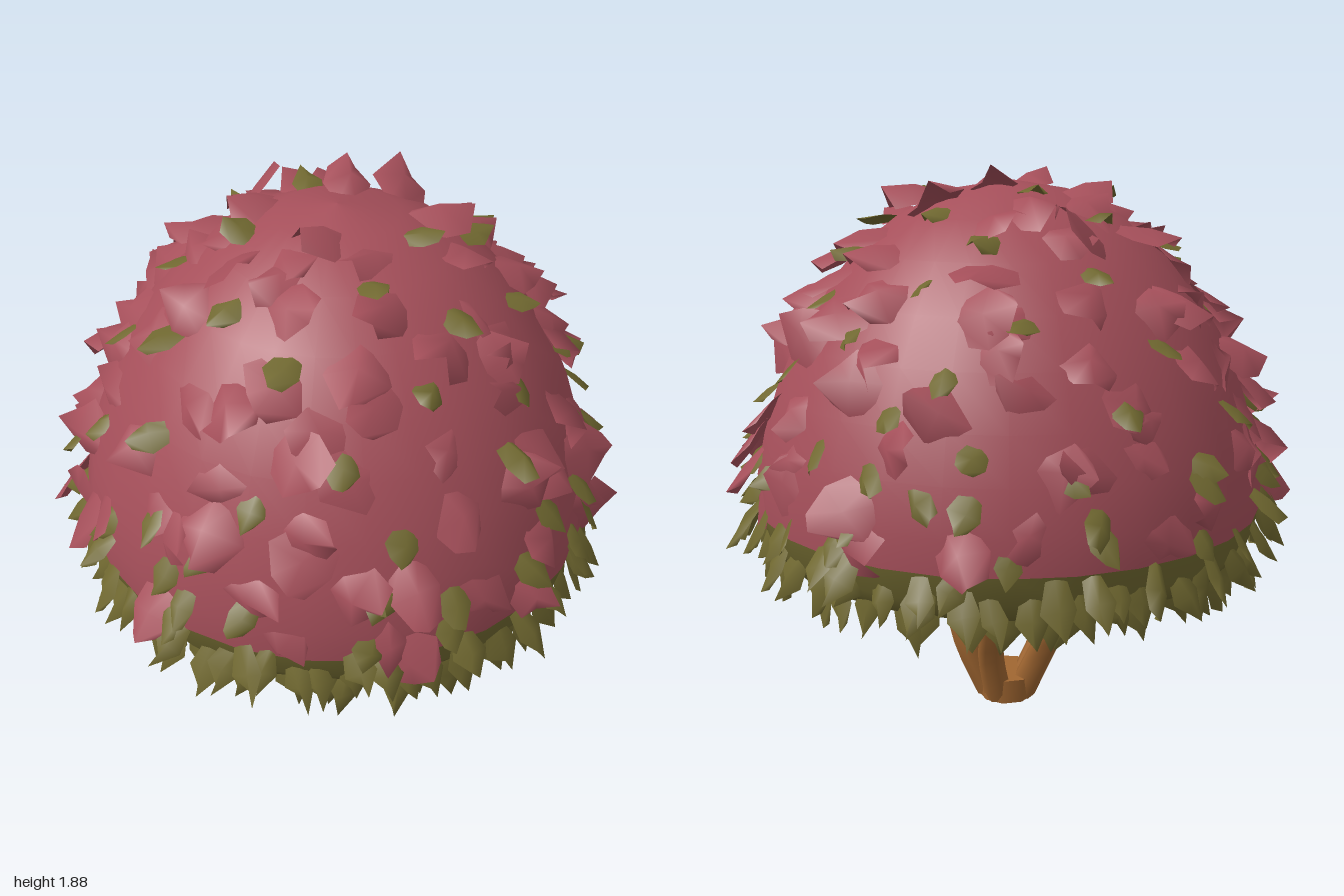
import * as THREE from 'three';
import { mergeGeometries } from 'three/addons/utils/BufferGeometryUtils.js';

const V = (x, y, z) => new THREE.Vector3(x, y, z);
const P = (r, y) => new THREE.Vector2(r, y);

// small seeded random
let seed = 7;
const rnd = () => {
  seed = (seed * 16807) % 2147483647;
  return seed / 2147483647;
};
const between = (a, b) => a + (b - a) * rnd();

// outer outline of the blossom dome, bottom to top
const CROWN = [P(0.85, 0.77), P(0.85, 0.88), P(0.82, 1.02), P(0.775, 1.16), P(0.705, 1.32),
  P(0.615, 1.46), P(0.5, 1.6), P(0.36, 1.71), P(0.19, 1.79), P(0, 1.82)];

// radius and slope of the dome at a share t of its outline
function crownAt(t) {
  const f = Math.min(t, 0.999) * (CROWN.length - 1), i = Math.floor(f);
  const a = CROWN[i], b = CROWN[i + 1];
  const p = a.clone().lerp(b, f - i), d = b.clone().sub(a).normalize();
  return { r: p.x, y: p.y, nr: d.y, ny: -d.x };
}

// one cupped leaf, base at the origin, pointing along +y, facing +z
function leafGeometry(width, length, tip, cup) {
  const g = new THREE.PlaneGeometry(1, 1, 2, 2);
  const pos = g.attributes.position;
  for (let i = 0; i < pos.count; i++) {
    const u = pos.getX(i), v = pos.getY(i) + 0.5;
    const spread = v < 0.25 ? 0.6 : v < 0.75 ? 1 : tip;
    const reach = v > 0.75 && u !== 0 ? 0.84 + between(-0.12, 0.1) : v;
    const fold = -cup * width * Math.abs(u) * 2 * (v > 0.25 ? 1 : 0.3);
    pos.setXYZ(i, u * width * spread + between(-0.07, 0.07) * width,
      reach * length, fold + 0.25 * cup * length * Math.sin(v * Math.PI));
  }
  g.computeVertexNormals();
  return g;
}

// place a leaf on a surface point: turn it in the surface, then lift its tip
function placeLeaf(g, point, normal, turn, lift) {
  const down = V(0, -1, 0).addScaledVector(normal, normal.y);
  if (down.lengthSq() < 0.001) down.set(1, 0, 0);
  down.normalize().applyAxisAngle(normal, turn);
  const side = down.clone().cross(normal).normalize();
  down.applyAxisAngle(side, lift);
  const face = side.clone().cross(down);
  return g.applyMatrix4(new THREE.Matrix4().makeBasis(side, down, face).setPosition(point));
}

// leaves spread evenly over the dome along a golden spiral
function scatter(count, start, top, makeOne) {
  const list = [];
  for (let i = 0; i < count; i++) {
    const a = start + i * 2.39996 + between(-0.15, 0.15);
    const y = 0.82 + (top - 0.82) * (i + 0.5) / count;
    let t = 0;
    while (t < 0.99 && crownAt(t).y < y) t += 0.01;
    const c = crownAt(t);
    const normal = V(Math.sin(a) * c.nr, c.ny, Math.cos(a) * c.nr).normalize();
    const point = V(Math.sin(a) * c.r, c.y, Math.cos(a) * c.r).addScaledVector(normal, -0.01);
    list.push(makeOne(point, normal));
  }
  return mergeGeometries(list);
}

// tapered limb through the given points
function limb(points, r0, r1) {
  const curve = new THREE.CatmullRomCurve3(points, false, 'centripetal');
  const g = new THREE.TubeGeometry(curve, 12, 1, 7);
  const pos = g.attributes.position;
  for (let i = 0; i < pos.count; i++) {
    const t = Math.floor(i / 8) / 12;
    const c = curve.getPointAt(t), p = V().fromBufferAttribute(pos, i);
    p.sub(c).multiplyScalar(r0 + (r1 - r0) * t).add(c);
    pos.setXYZ(i, p.x, p.y, p.z);
  }
  return g;
}

export function createModel() {
  seed = 7;
  const group = new THREE.Group();
  const mat = (name, color, side = THREE.FrontSide) => {
    const m = new THREE.MeshStandardMaterial({ color, side });
    m.name = name;
    return m;
  };
  const blossom = mat('blossom red', 0xa54f5a, THREE.DoubleSide);
  const green = mat('olive leaf', 0x706830, THREE.DoubleSide);
  const bark = mat('bark brown', 0xa06631);
  const shade = mat('inner brown', 0x85552a);
  const add = (name, g, m) => {
    const mesh = new THREE.Mesh(g, m);
    mesh.name = name;
    group.add(mesh);
  };

  // stump
  const stump = new THREE.CylinderGeometry(0.11, 0.1, 0.09, 9);
  add('stump', stump.translate(0.01, 0.045, 0), bark);

  // branches, running up into the hollow
  const branches = [
    [V(-0.05, 0.02, 0.02), V(-0.14, 0.2, 0.04), V(-0.25, 0.4, 0.1), V(-0.32, 0.58, 0.16), V(-0.37, 0.8, 0.19)],
    [V(-0.04, 0.02, -0.03), V(-0.09, 0.2, -0.11), V(-0.12, 0.36, -0.22), V(-0.16, 0.5, -0.28), V(-0.23, 0.8, -0.32)],
    [V(0.05, 0.02, 0.05), V(0.04, 0.15, 0.14), V(-0.01, 0.29, 0.26), V(0.03, 0.46, 0.4), V(0, 0.62, 0.44), V(0, 0.8, 0.45)],
    [V(0.05, 0.02, -0.04), V(0.09, 0.2, -0.11), V(0.11, 0.36, -0.22), V(0.13, 0.5, -0.28), V(0.16, 0.8, -0.33)],
    [V(0.07, 0.02, 0.01), V(0.15, 0.2, 0.02), V(0.19, 0.36, 0.05), V(0.22, 0.46, 0.07), V(0.27, 0.64, 0.09), V(0.31, 0.83, 0.1)],
  ];
  for (const b of branches) add('branch', limb(b, 0.05, 0.034), bark);

  // dome shell: hollow, leafy rim and blossom crown
  const hollow = [P(0, 0.86), P(0.2, 0.84), P(0.36, 0.8), P(0.52, 0.74), P(0.65, 0.675)];
  add('innerHollow', new THREE.LatheGeometry(hollow, 28), shade);
  const rim = [P(0.65, 0.675), P(0.79, 0.62), P(0.83, 0.68), P(0.85, 0.77)];
  add('leafRim', new THREE.LatheGeometry(rim, 28), green);
  add('blossomDome', new THREE.LatheGeometry(CROWN, 28), blossom);

  // blossom petals, lying close to the dome
  add('blossomPetals', scatter(125, 0, 1.81, (p, n) => placeLeaf(
    leafGeometry(between(0.16, 0.22), between(0.16, 0.23), 0.5, between(0.1, 0.35)),
    p, n, between(-2, 2), between(0.15, 0.6))), blossom);

  // small leaves between the petals, denser toward the rim
  const smallLeaf = (p, n) => placeLeaf(
    leafGeometry(between(0.08, 0.11), between(0.11, 0.16), 0.5, between(0.1, 0.3)),
    p, n, between(-1, 1), between(0.35, 0.75));
  add('smallLeaves', scatter(62, 1.3, 1.8, smallLeaf), green);
  add('lowerLeaves', scatter(26, 2.1, 1.1, smallLeaf), green);

  // hanging fringe of leaves in three rows around the rim
  const fringe = [];
  for (const [y, r, count, lift] of [[0.67, 0.79, 46, 0.1], [0.73, 0.825, 46, 0.3], [0.78, 0.845, 30, 0.5]]) {
    for (let i = 0; i < count; i++) {
      const a = (i + between(-0.35, 0.35)) / count * Math.PI * 2 + y * 9;
      const n = V(Math.sin(a), 0, Math.cos(a));
      const p = n.clone().multiplyScalar(r).setY(y + between(-0.02, 0.03));
      fringe.push(placeLeaf(leafGeometry(between(0.08, 0.12), between(0.13, 0.2), 0.18, between(0.1, 0.35)),
        p, n, between(-0.45, 0.45), lift + between(-0.12, 0.25)));
    }
  }
  add('leafFringe', mergeGeometries(fringe), green);

  return group;
}
